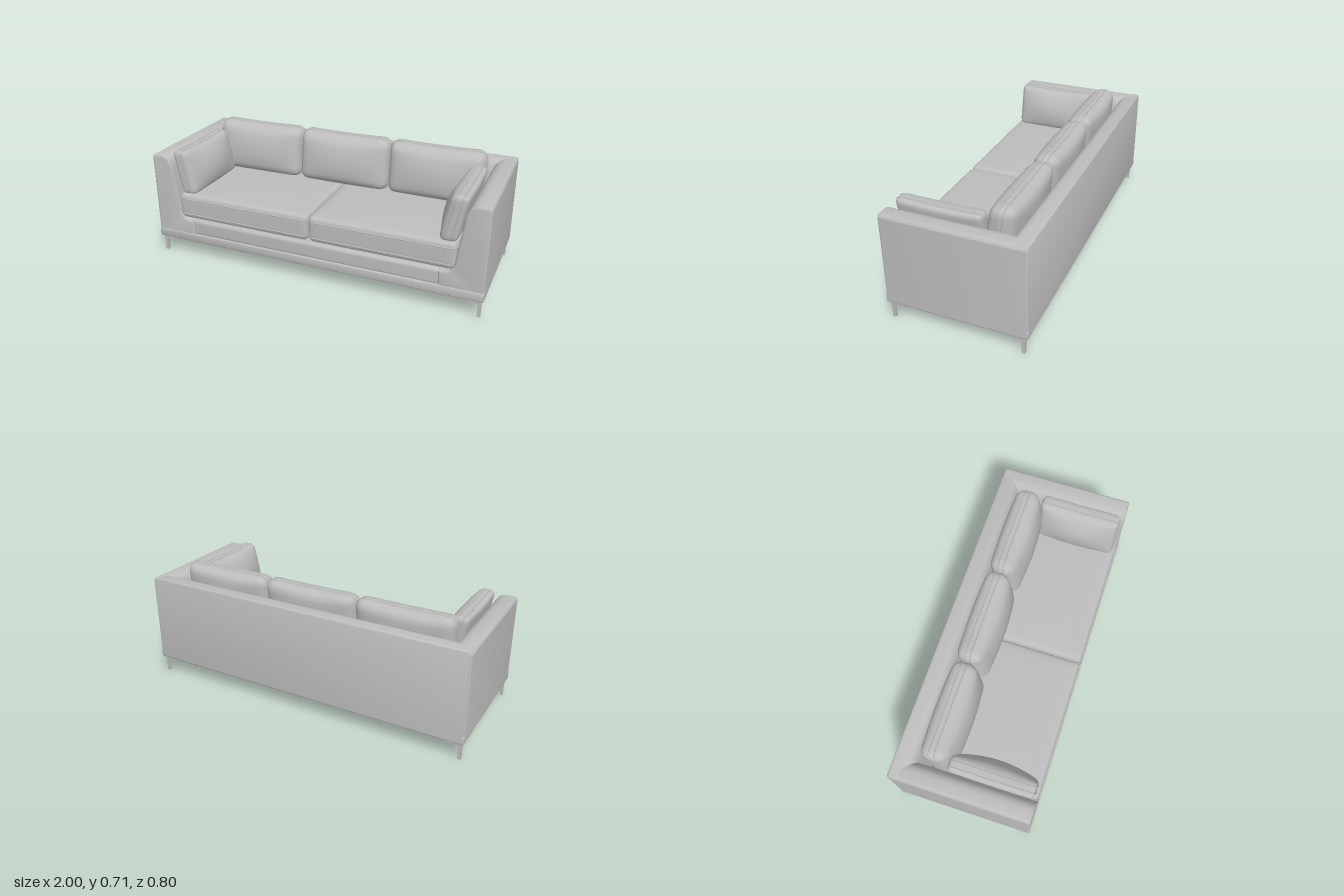
import * as THREE from 'three';
import { mergeVertices, toCreasedNormals } from 'three/addons/utils/BufferGeometryUtils.js';

const upholstery = new THREE.MeshStandardMaterial({ color: 0xbdbdbd });
upholstery.name = 'grey upholstery';

function add(parent, name, geometry) {
  const mesh = new THREE.Mesh(geometry, upholstery);
  mesh.name = name;
  parent.add(mesh);
  return mesh;
}

// Smooth extrusion along z, starting at z = 0, with a softened rim
function extrude(shape, depth, bevel) {
  const g = new THREE.ExtrudeGeometry(shape, {
    depth: depth - 2 * bevel, curveSegments: 10, bevelEnabled: true,
    bevelSize: bevel, bevelThickness: bevel, bevelOffset: -bevel, bevelSegments: 3,
  });
  g.translate(0, 0, bevel);
  return toCreasedNormals(g, 0.6);
}

function roundedRect(w, h, r) {
  const s = new THREE.Shape(), x = w / 2 - r, y = h / 2 - r;
  s.absarc(x, y, r, 0, Math.PI / 2);
  s.absarc(-x, y, r, Math.PI / 2, Math.PI);
  s.absarc(-x, -y, r, Math.PI, Math.PI * 1.5);
  s.absarc(x, -y, r, Math.PI * 1.5, Math.PI * 2);
  s.closePath();
  return s;
}

// Stuffed cushion: thickness along z, its front facing +z, edged with piping
function cushion(name, { w, h, t, r, front, back, lean = 0, sag = 0 }) {
  const group = new THREE.Group();
  group.name = name;
  const puff = (p) => {
    const u = 1 - (2 * p.x / w) ** 2, v = 1 - (2 * p.y / h) ** 2;
    const side = THREE.MathUtils.clamp(2 * p.z / t, -1, 1);
    p.z += side * (side > 0 ? front : back) * Math.max(0, u) * Math.max(0, v) - lean * p.y;
    p.y -= sag * u * Math.max(0, 2 * p.y / h);
    return p;
  };
  const ease = (a) => 0.5 * Math.sin(Math.PI * a);
  let g = new THREE.BoxGeometry(1, 1, 1, 20, 20, 10);
  g.deleteAttribute('uv');
  g.deleteAttribute('normal');
  const pos = g.attributes.position, p = new THREE.Vector3(), q = new THREE.Vector3();
  const inner = new THREE.Vector3(w / 2 - r, h / 2 - r, t / 2 - r);
  const low = inner.clone().negate();
  for (let i = 0; i < pos.count; i++) {
    p.fromBufferAttribute(pos, i);
    p.set(ease(p.x) * w, ease(p.y) * h, ease(p.z) * t);
    q.copy(p).clamp(low, inner);
    p.sub(q).setLength(r).add(q);
    puff(p);
    pos.setXYZ(i, p.x, p.y, p.z);
  }
  g = mergeVertices(g, 1e-5);
  g.computeVertexNormals();
  add(group, 'pad', g);

  // Piping on both seams
  for (const s of [-1, 1]) {
    const points = roundedRect(w, h, r).getSpacedPoints(72).slice(0, -1)
      .map((c) => puff(new THREE.Vector3(c.x, c.y, s * (t / 2 - r))));
    const path = new THREE.CatmullRomCurve3(points, true);
    add(group, 'piping', new THREE.TubeGeometry(path, 120, 0.004, 6, true));
  }
  return group;
}

// Side profile of an arm: straight outside, rolled top, sloped inside, foot sweeping inwards
function armShape() {
  const s = new THREE.Shape();
  s.moveTo(1, 0.112);
  s.lineTo(1, 0.612);
  s.quadraticCurveTo(1, 0.635, 0.975, 0.635);
  s.lineTo(0.94, 0.635);
  s.bezierCurveTo(0.895, 0.635, 0.873, 0.6, 0.866, 0.54);
  s.lineTo(0.836, 0.31);
  s.bezierCurveTo(0.83, 0.255, 0.81, 0.24, 0.75, 0.24);
  s.lineTo(0.75, 0.112);
  s.closePath();
  return s;
}

// Profile of the back: u runs from the rear face forwards
function backShape() {
  const s = new THREE.Shape();
  s.moveTo(0, 0.112);
  s.lineTo(0, 0.62);
  s.quadraticCurveTo(0, 0.635, 0.015, 0.635);
  s.lineTo(0.06, 0.635);
  s.bezierCurveTo(0.1, 0.635, 0.12, 0.6, 0.126, 0.54);
  s.lineTo(0.156, 0.25);
  s.lineTo(0.156, 0.112);
  s.closePath();
  return s;
}

export function createModel() {
  const sofa = new THREE.Group();
  sofa.name = 'sofa';

  // Shell: two arms and the back
  const arm = extrude(armShape(), 0.79, 0.012).translate(0, 0, -0.397);
  add(sofa, 'leftArm', arm);
  const rightArm = arm.clone();
  const a = rightArm.attributes;
  for (const key of ['position', 'normal']) {
    for (let i = 0; i < a[key].count; i++) a[key].setX(i, -a[key].getX(i));
  }
  // Mirrored triangles are turned to face outwards again
  rightArm.setIndex([...Array(a.position.count).keys()].map((i) => i - (i % 3) + 2 - (i % 3)));
  add(sofa, 'rightArm', rightArm);
  const back = extrude(backShape(), 1.98, 0.002);
  back.rotateY(-Math.PI / 2).translate(0.99, 0, 0);
  back.rotateY(Math.PI).translate(0, 0, 0);
  back.rotateY(Math.PI).translate(0, 0, -0.398);
  add(sofa, 'back', back);

  // Base: bottom rim, closed underside, front rail
  const rim = roundedRect(2, 0.796, 0.008);
  rim.holes.push(new THREE.Path(roundedRect(1.93, 0.73, 0.005).getPoints(4)));
  add(sofa, 'baseRim', extrude(rim, 0.052, 0.006).rotateX(-Math.PI / 2).translate(0, 0.103, 0));
  add(sofa, 'deck', new THREE.BoxGeometry(1.95, 0.12, 0.74).translate(0, 0.172, 0));
  const rail = extrude(roundedRect(0.1, 0.1, 0.02), 1.5, 0.003);
  add(sofa, 'frontRail', rail.rotateY(Math.PI / 2).translate(-0.75, 0.195, 0.337));

  // Seat cushions
  for (const side of [-1, 1]) {
    const seat = cushion('seatCushion', {
      w: 0.836, h: 0.6, t: 0.155, r: 0.03, front: 0.014, back: 0.002,
    });
    seat.rotation.x = -Math.PI / 2;
    seat.position.set(side * 0.42, 0.331, 0.093);
    sofa.add(seat);
  }

  // Back cushions
  for (const i of [-1, 0, 1]) {
    const pillow = cushion('backCushion', {
      w: 0.566, h: 0.31, t: 0.14, r: 0.055, front: 0.035, back: 0.025, lean: 0.12, sag: 0.006,
    });
    pillow.position.set(i * 0.57, 0.557, -0.183);
    sofa.add(pillow);
  }

  // Arm cushions leaning on the arms, plump side inwards
  for (const side of [-1, 1]) {
    const pillow = cushion('armCushion', {
      w: 0.48, h: 0.265, t: 0.095, r: 0.03, front: 0.042, back: 0.006, lean: 0.2, sag: 0.008,
    });
    pillow.rotation.y = -side * Math.PI / 2;
    pillow.position.set(side * 0.807, 0.532, 0.131);
    sofa.add(pillow);
  }

  // Legs: slim posts under L-shaped brackets
  for (const sx of [-1, 1]) {
    for (const sz of [-1, 1]) {
      const leg = new THREE.Group();
      leg.name = 'leg';
      add(leg, 'post', new THREE.BoxGeometry(0.018, 0.09, 0.018)
        .translate(sx * 0.977, 0.045, sz * 0.368));
      add(leg, 'sideBracket', new THREE.BoxGeometry(0.026, 0.022, 0.1)
        .translate(sx * 0.973, 0.093, sz * 0.328));
      add(leg, 'crossBracket', new THREE.BoxGeometry(0.096, 0.022, 0.026)
        .translate(sx * 0.938, 0.093, sz * 0.365));
      sofa.add(leg);
    }
  }
  return sofa;
}
